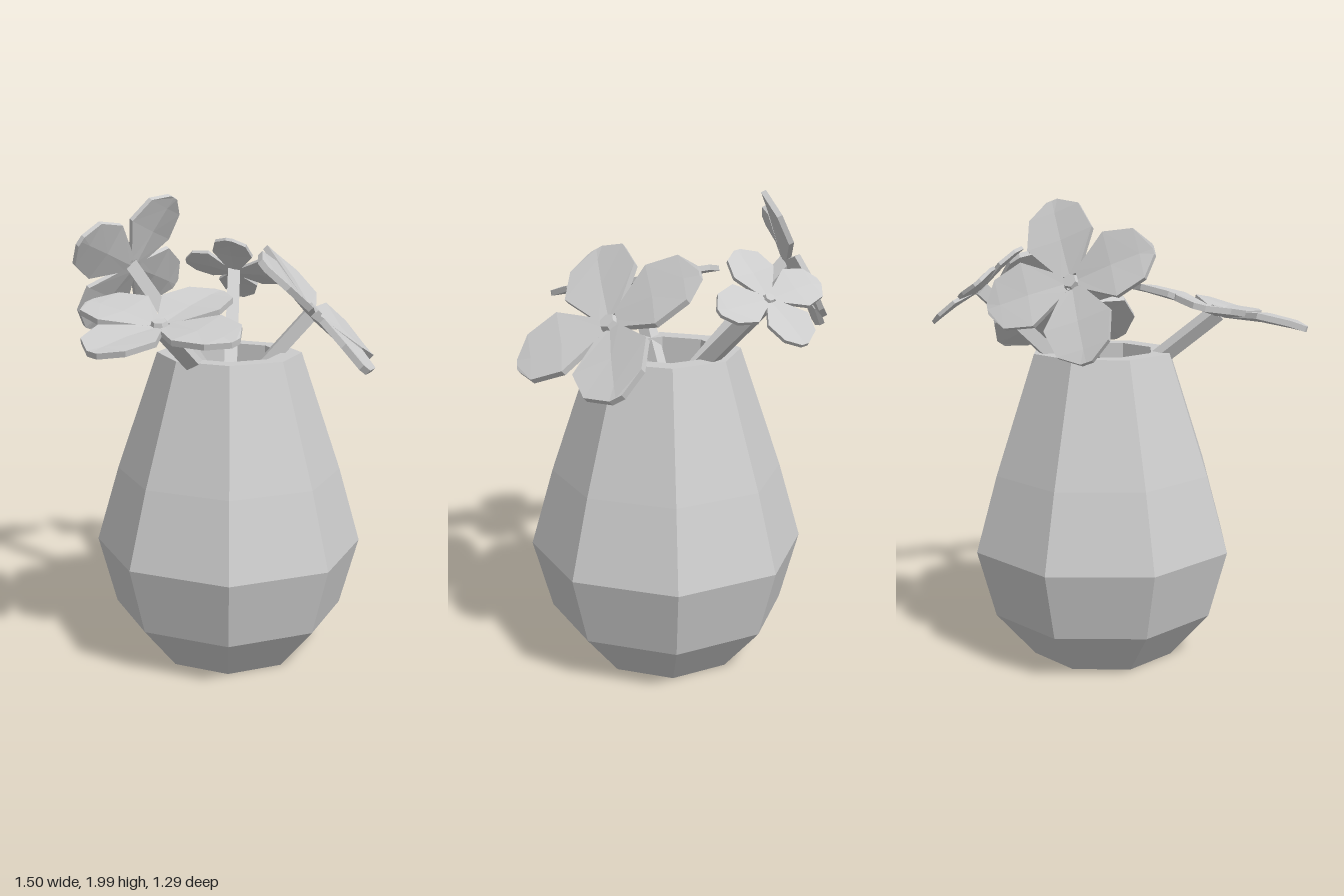
import * as THREE from 'three';

const material = new THREE.MeshStandardMaterial({ color: 0xcccccc, flatShading: true });
const V = (x, y, z) => new THREE.Vector3(x, y, z);

function part(name, geometry, parent) {
  const mesh = new THREE.Mesh(geometry, material);
  mesh.name = name;
  parent.add(mesh);
  return mesh;
}

// Petal along +y, facing +z: a thin box reshaped station by station, base to tip
function petalGeometry() {
  const stations = [ // distance, half width, height at edge, height at midline
    [0.03, 0.04, -0.02, -0.025],
    [0.19, 0.15, 0.01, -0.005],
    [0.32, 0.115, 0.01, 0],
    [0.38, 0.025, 0, 0],
  ];
  const g = new THREE.BoxGeometry(2, 3, 1, 2, 3, 1);
  const p = g.attributes.position;
  for (let i = 0; i < p.count; i++) {
    const [r, w, edge, mid] = stations[Math.round(p.getY(i) + 1.5)];
    const side = Math.round(p.getX(i));
    const thick = p.getZ(i) > 0 ? 0.012 : -0.012;
    p.setXYZ(i, side * w, r, (side ? edge : mid) + thick);
  }
  g.computeVertexNormals();
  return g;
}

// Four-petalled head: centre, facing direction, direction of one petal, radius
function flowerHead(center, normal, petalDir, radius, petal) {
  const head = new THREE.Group();
  head.name = 'flowerHead';
  const z = normal.clone().normalize();
  const y = petalDir.clone().addScaledVector(z, -petalDir.dot(z)).normalize();
  const x = y.clone().cross(z);
  head.quaternion.setFromRotationMatrix(new THREE.Matrix4().makeBasis(x, y, z));
  head.position.copy(center);
  head.scale.setScalar(radius / 0.38);
  for (let k = 0; k < 4; k++) part('petal', petal, head).rotation.z = k * Math.PI / 2;
  const eye = new THREE.CylinderGeometry(0.03, 0.045, 0.04, 6);
  eye.rotateX(Math.PI / 2);
  part('flowerCenter', eye, head).position.z = -0.015;
  return head;
}

// Straight four-sided stem between two points
function stem(from, to, parent) {
  const dir = to.clone().sub(from);
  const mesh = part('stem', new THREE.CylinderGeometry(0.04, 0.04, dir.length(), 4), parent);
  mesh.position.copy(from).addScaledVector(dir, 0.5);
  mesh.quaternion.setFromUnitVectors(V(0, 1, 0), dir.normalize());
}

export function createModel() {
  const model = new THREE.Group();
  model.name = 'vaseWithFlowers';

  // Eight-sided vase with a thick rim and a shallow hollow
  const profile = [
    [0, 0], [0.325, 0], [0.5, 0.205], [0.58, 0.5], [0.485, 0.83],
    [0.31, 1.345], [0.225, 1.345], [0.225, 1.1], [0, 1.1],
  ].map(([r, y]) => new THREE.Vector2(r, y));
  part('vase', new THREE.LatheGeometry(profile, 8), model).position.set(0.11, 0, 0.04);

  // Flowers fan out from one point inside the neck
  const root = V(0.11, 1.12, 0.04);
  const petal = petalGeometry();
  const flowers = [
    ['leftwardFlower', V(-0.38, 1.54, 0.14), V(-0.19, 0.97, 0.13), V(1, 0.2, -0.1), 0.38],
    ['backFlower', V(0.01, 1.69, -0.49), V(0, 0.43, -0.9), V(0.13, 0.28, 0.13), 0.35],
    ['frontFlower', V(0.38, 1.53, 0.29), V(0.46, 0.71, 0.54), V(0.36, -0.21, -0.02), 0.415],
    ['smallFlower', V(0.51, 1.64, -0.32), V(0.6, 0.77, -0.22), V(0.22, -0.06, 0.39), 0.24],
  ];
  for (const [name, center, normal, petalDir, radius] of flowers) {
    const flower = new THREE.Group();
    flower.name = name;
    stem(root, center.clone().addScaledVector(normal, -0.02), flower);
    flower.add(flowerHead(center, normal, petalDir, radius, petal));
    model.add(flower);
  }
  return model;
}
